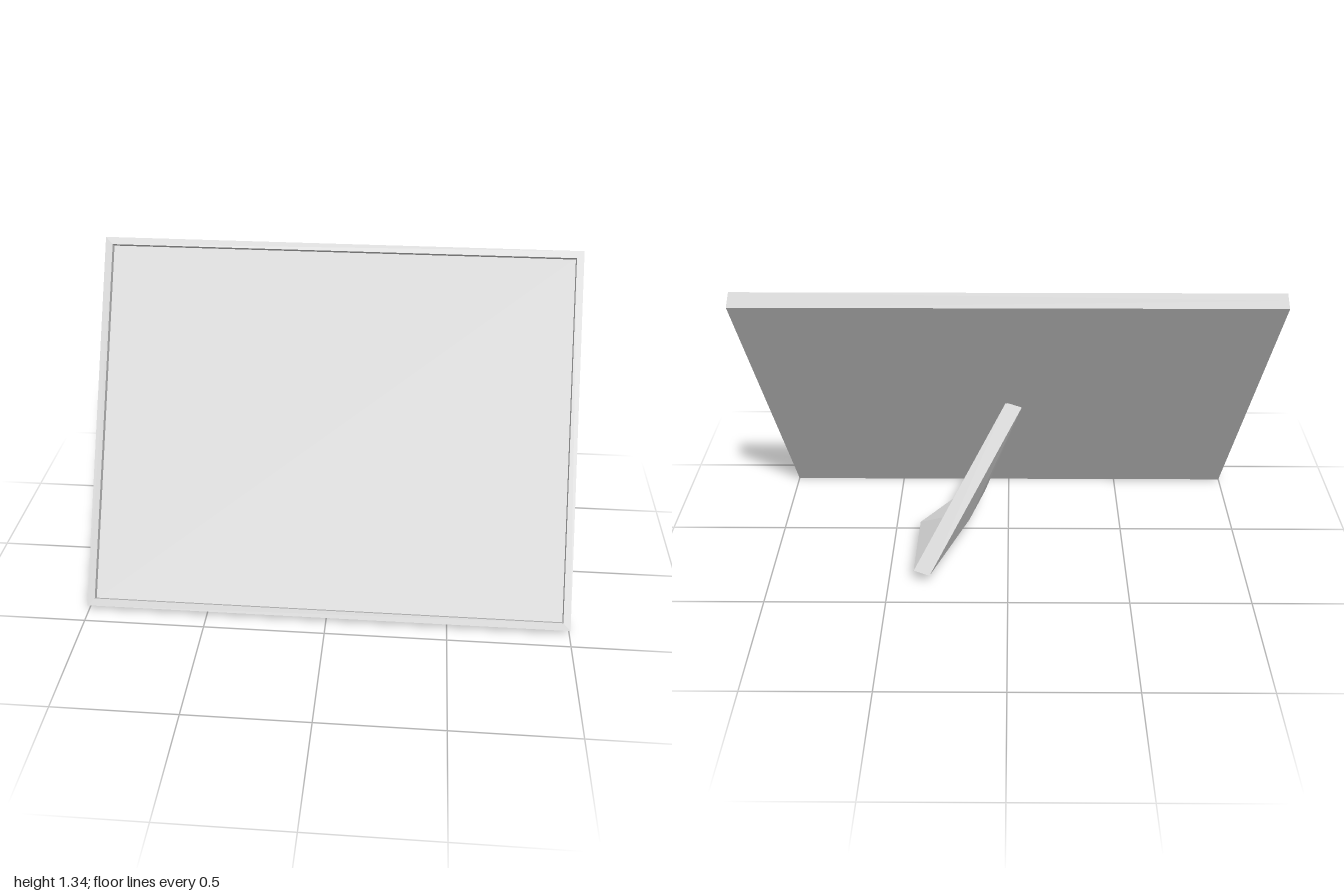
import * as THREE from 'three';

const material = () => new THREE.MeshStandardMaterial({ color: 0xcccccc, flatShading: true });

function addMesh(parent, name, geometry) {
  const mesh = new THREE.Mesh(geometry, material());
  mesh.name = name;
  parent.add(mesh);
  return mesh;
}

// Closed plate: a creased fan around a centre point, thickened by an offset
function foldedPlate(rim, centre, offset) {
  const back = (p) => p.map((v, i) => v + offset[i]);
  const pos = [];
  const tri = (...points) => points.forEach((p) => pos.push(...p));
  rim.forEach((a, i) => {
    const b = rim[(i + 1) % rim.length];
    tri(a, b, centre);
    tri(back(b), back(a), back(centre));
    tri(b, a, back(a));
    tri(b, back(a), back(b));
  });
  const geometry = new THREE.BufferGeometry();
  geometry.setAttribute('position', new THREE.Float32BufferAttribute(pos, 3));
  geometry.computeVertexNormals();
  return geometry;
}

function rectangle(path, w, h) {
  path.moveTo(-w / 2, -h / 2);
  path.lineTo(w / 2, -h / 2);
  path.lineTo(w / 2, h / 2);
  path.lineTo(-w / 2, h / 2);
  path.closePath();
  return path;
}

export function createModel() {
  const model = new THREE.Group();
  const W = 2, H = 1.553, T = 0.065, border = 0.03, recess = 0.031;

  // Leaning picture frame
  const frame = new THREE.Group();
  frame.name = 'pictureFrame';
  frame.position.y = 0.6725;
  frame.rotation.x = -THREE.MathUtils.degToRad(32.5);
  model.add(frame);

  // Raised rim around the picture
  const outline = rectangle(new THREE.Shape(), W, H);
  outline.holes.push(rectangle(new THREE.Path(), W - 2 * border, H - 2 * border));
  const rim = new THREE.ExtrudeGeometry(outline, { depth: recess, bevelEnabled: false });
  addMesh(frame, 'frameRim', rim).position.z = T / 2 - recess;

  // Backing whose front is the recessed picture surface
  const backing = addMesh(frame, 'backPanel', new THREE.BoxGeometry(W, H, T - recess));
  backing.position.z = -recess / 2;

  // Folded stand that splays out diagonally behind the frame
  const top = [0.01, 0.68, -0.04];
  const bend = [0.17, 0.2, 0.04];
  const footFront = [0.385, 0.08, -0.06];
  const footBack = [0.39, 0.08, -0.395];
  const crease = [0.235, 0.14, -0.09];
  addMesh(model, 'stand',
    foldedPlate([top, bend, footFront, footBack], crease, [-0.066, -0.013, -0.017]));

  return model;
}
